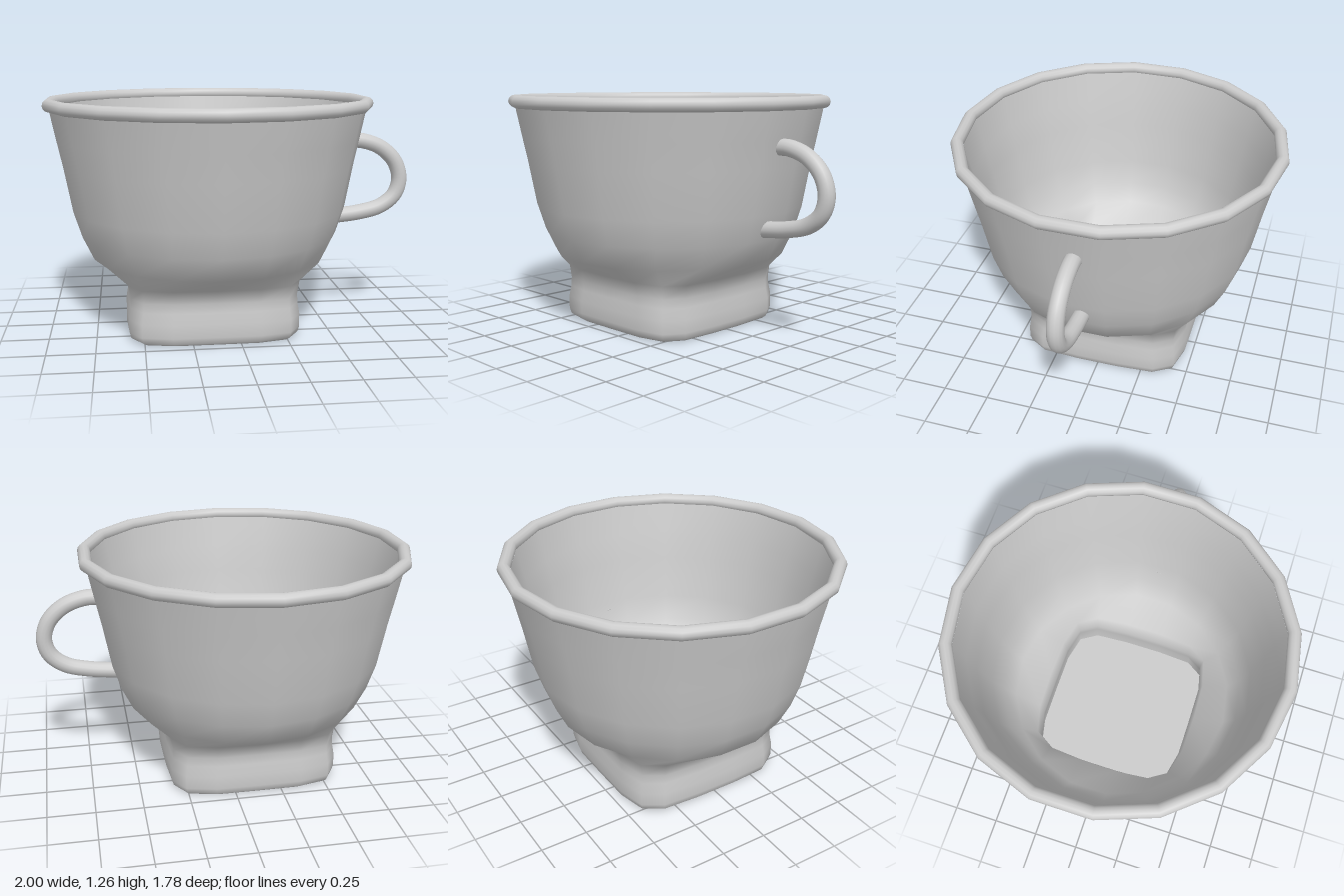
import * as THREE from 'three';

const SIDES = 18;
const CENTRE_X = -0.125;
const material = new THREE.MeshStandardMaterial({ color: 0xcccccc });

// Ring point: squareness 0 is a round section, 1 a rounded square.
function ringPoint(i, r, y, square) {
  const t = (i / SIDES) * Math.PI * 2;
  const a = t + square * 0.115 * Math.sin(4 * t);
  const s = Math.sin(a), c = Math.cos(a), n = 5.5;
  const squared = Math.pow(Math.abs(s) ** n + Math.abs(c) ** n, -1 / n);
  const radius = r * (1 + square * (squared - 1));
  return [s * radius, y, c * radius];
}

// Skins a list of [radius, y, squareness] rings with smooth normals.
function loft(rings) {
  const pos = [], index = [];
  rings.forEach(([r, y, sq]) => {
    for (let i = 0; i < SIDES; i++) pos.push(...ringPoint(i, r, y, sq));
  });
  for (let j = 0; j < rings.length - 1; j++) {
    for (let i = 0; i < SIDES; i++) {
      const a = j * SIDES + i, b = j * SIDES + (i + 1) % SIDES;
      index.push(a, b, b + SIDES, a, b + SIDES, a + SIDES);
    }
  }
  const g = new THREE.BufferGeometry();
  g.setAttribute('position', new THREE.Float32BufferAttribute(pos, 3));
  g.setIndex(index);
  g.computeVertexNormals();
  return g;
}

function add(group, name, geometry) {
  const mesh = new THREE.Mesh(geometry, material);
  mesh.name = name;
  group.add(mesh);
  return mesh;
}

export function createModel() {
  const group = new THREE.Group();
  group.name = 'cup';

  // Outer wall: square foot, pinched neck, round bowl
  const outer = [
    [0.001, 0.008, 1], [0.41, 0.004, 1], [0.44, 0.004, 1], [0.457, 0.018, 1],
    [0.465, 0.05, 1], [0.465, 0.12, 1], [0.455, 0.18, 1], [0.453, 0.23, 1],
    [0.475, 0.30, 0.85], [0.64, 0.395, 0], [0.70, 0.52, 0], [0.745, 0.66, 0],
    [0.79, 0.90, 0], [0.82, 1.04, 0], [0.855, 1.21, 0],
  ];
  add(group, 'outerWall', loft(outer)).position.x = CENTRE_X;

  // Inner wall, running from the rim down to the neck
  const inner = [
    [0.825, 1.21, 0], [0.785, 1.04, 0], [0.755, 0.90, 0], [0.71, 0.66, 0],
    [0.665, 0.53, 0], [0.605, 0.42, 0], [0.44, 0.32, 0.85], [0.416, 0.23, 1],
    [0.418, 0.18, 1], [0.428, 0.12, 1], [0.428, 0.045, 1],
  ];
  add(group, 'innerWall', loft(inner)).position.x = CENTRE_X;

  // Flat floor inside the foot
  add(group, 'floor', loft([[0.428, 0.045, 1], [0.001, 0.045, 1]])).position.x = CENTRE_X;

  // Rolled rim with the same facets as the bowl
  const rimGeometry = new THREE.TorusGeometry(0.855, 0.034, 12, SIDES);
  rimGeometry.rotateX(-Math.PI / 2);
  rimGeometry.rotateY(Math.PI / 2);
  add(group, 'rim', rimGeometry).position.set(CENTRE_X, 1.226, 0);

  // Handle on the left side
  const path = new THREE.CatmullRomCurve3([
    [0.65, 1.01], [0.73, 1.008], [0.84, 0.97], [0.925, 0.89], [0.956, 0.79],
    [0.93, 0.70], [0.85, 0.635], [0.73, 0.602], [0.565, 0.582],
  ].map(([x, y]) => new THREE.Vector3(x, y, 0)));
  add(group, 'handle', new THREE.TubeGeometry(path, 40, 0.043, 14, false));

  // Caps closing the handle ends
  for (const [t, sign] of [[0, -1], [1, 1]]) {
    const cap = add(group, 'handleEnd', new THREE.CircleGeometry(0.043, 14));
    const p = path.getPointAt(t);
    cap.position.copy(p);
    cap.lookAt(p.clone().addScaledVector(path.getTangentAt(t), sign));
  }
  return group;
}
